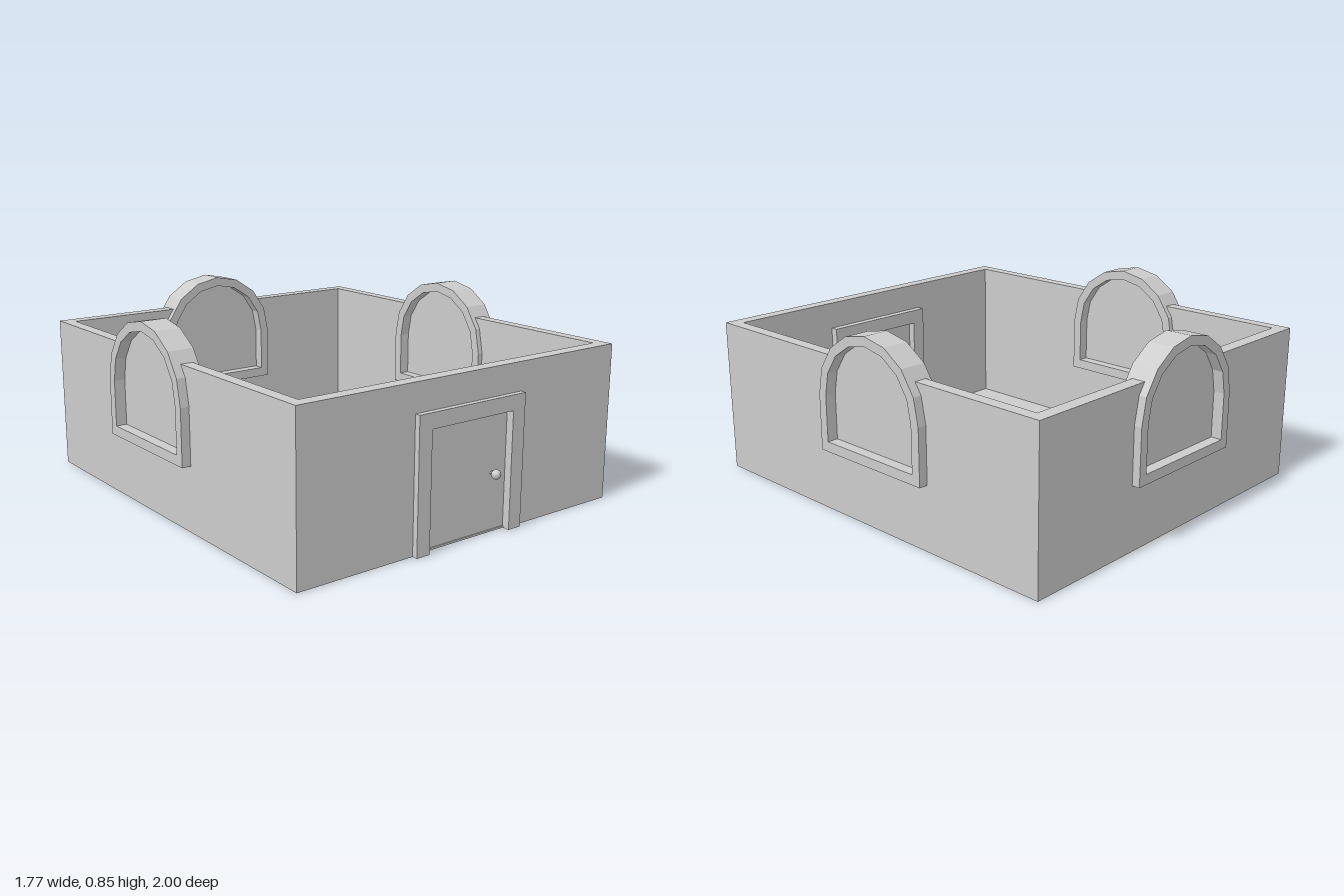
import * as THREE from 'three';

const H = 0.705;                 // wall height
const SPRING = 0.54;             // height where the window arches begin
const material = new THREE.MeshStandardMaterial({ color: 0xcccccc, flatShading: true });

function mesh(name, geometry, parent) {
  const m = new THREE.Mesh(geometry, material);
  m.name = name;
  parent.add(m);
  return m;
}

function box(name, x0, x1, y0, y1, z0, z1, parent) {
  const m = mesh(name, new THREE.BoxGeometry(x1 - x0, y1 - y0, z1 - z0), parent);
  m.position.set((x0 + x1) / 2, (y0 + y1) / 2, (z0 + z1) / 2);
  return m;
}

// extrusion centred on z = 0
function slab(shape, depth) {
  const g = new THREE.ExtrudeGeometry(shape, { depth, bevelEnabled: false, curveSegments: 4 });
  return g.translate(0, 0, -depth / 2);
}

// round-headed outline
function arch(r, bottom, Type = THREE.Shape) {
  const s = new Type();
  s.moveTo(-r, bottom);
  s.lineTo(r, bottom);
  s.lineTo(r, SPRING);
  s.absarc(0, SPRING, r, 0, Math.PI, false);
  s.lineTo(-r, bottom);
  return s;
}

// wall from u0 to u1 with a gap for a window centred on u = 0
function windowWall(u0, u1) {
  const r = 0.28, sill = 0.315, a = Math.asin((H - SPRING) / r);
  const s = new THREE.Shape();
  s.moveTo(u0, 0);
  s.lineTo(u1, 0);
  s.lineTo(u1, H);
  s.lineTo(r * Math.cos(a), H);
  s.absarc(0, SPRING, r, a, 0, true);
  s.lineTo(r, sill);
  s.lineTo(-r, sill);
  s.lineTo(-r, SPRING);
  s.absarc(0, SPRING, r, Math.PI, Math.PI - a, true);
  s.lineTo(u0, H);
  s.closePath();
  return s;
}

// wall, arched frame and pane; local +z points outdoors
function windowSide(name, u0, u1, thickness, wallOffset) {
  const g = new THREE.Group();
  g.name = name;
  mesh('wall', slab(windowWall(u0, u1), thickness), g).position.z = wallOffset;
  const frame = arch(0.305, 0.29);
  frame.holes.push(arch(0.2625, 0.335, THREE.Path));
  mesh('windowFrame', slab(frame, 0.12), g);
  mesh('windowPane', slab(arch(0.27, 0.325), 0.02), g);
  return g;
}

export function createModel() {
  const model = new THREE.Group();
  model.name = 'room';

  box('floor', -0.84, 0.84, 0.002, 0.01, -0.96, 0.955, model);

  // side walls with windows
  const left = windowSide('leftSide', -0.975, 0.83, 0.055, -0.0075);
  left.rotation.y = Math.PI / 2;
  left.position.set(0.825, 0, -0.075);
  const right = windowSide('rightSide', -0.83, 0.975, 0.055, -0.0075);
  right.rotation.y = -Math.PI / 2;
  right.position.set(-0.825, 0, -0.075);

  // back wall with window
  const back = windowSide('backSide', -0.855, 0.835, 0.06, -0.005);
  back.rotation.y = Math.PI;
  back.position.set(-0.01, 0, -0.94);
  model.add(left, right, back);

  // front wall with doorway
  const front = new THREE.Shape([
    [-0.845, 0], [-0.25, 0], [-0.25, 0.545], [0.25, 0.545],
    [0.25, 0], [0.845, 0], [0.845, H], [-0.845, H],
  ].map(([x, y]) => new THREE.Vector2(x, y)));
  mesh('frontWall', slab(front, 0.06), model).position.z = 0.93;

  // door frame, door and a knob on each face
  const surround = new THREE.Shape([
    [-0.287, 0], [-0.22, 0], [-0.22, 0.513], [0.22, 0.513],
    [0.22, 0], [0.287, 0], [0.287, 0.58], [-0.287, 0.58],
  ].map(([x, y]) => new THREE.Vector2(x, y)));
  mesh('doorFrame', slab(surround, 0.12), model).position.z = 0.925;
  box('door', -0.23, 0.23, 0, 0.52, 0.9, 0.95, model);
  for (const side of [-1, 1]) {
    const knob = mesh('doorKnob', new THREE.SphereGeometry(0.021, 12, 8), model);
    knob.position.set(0.143, 0.256, 0.925 + side * 0.052);
    const stem = mesh('knobStem', new THREE.CylinderGeometry(0.009, 0.009, 0.04, 8), model);
    stem.rotation.x = Math.PI / 2;
    stem.position.set(0.143, 0.256, 0.925 + side * 0.035);
  }

  return model;
}
